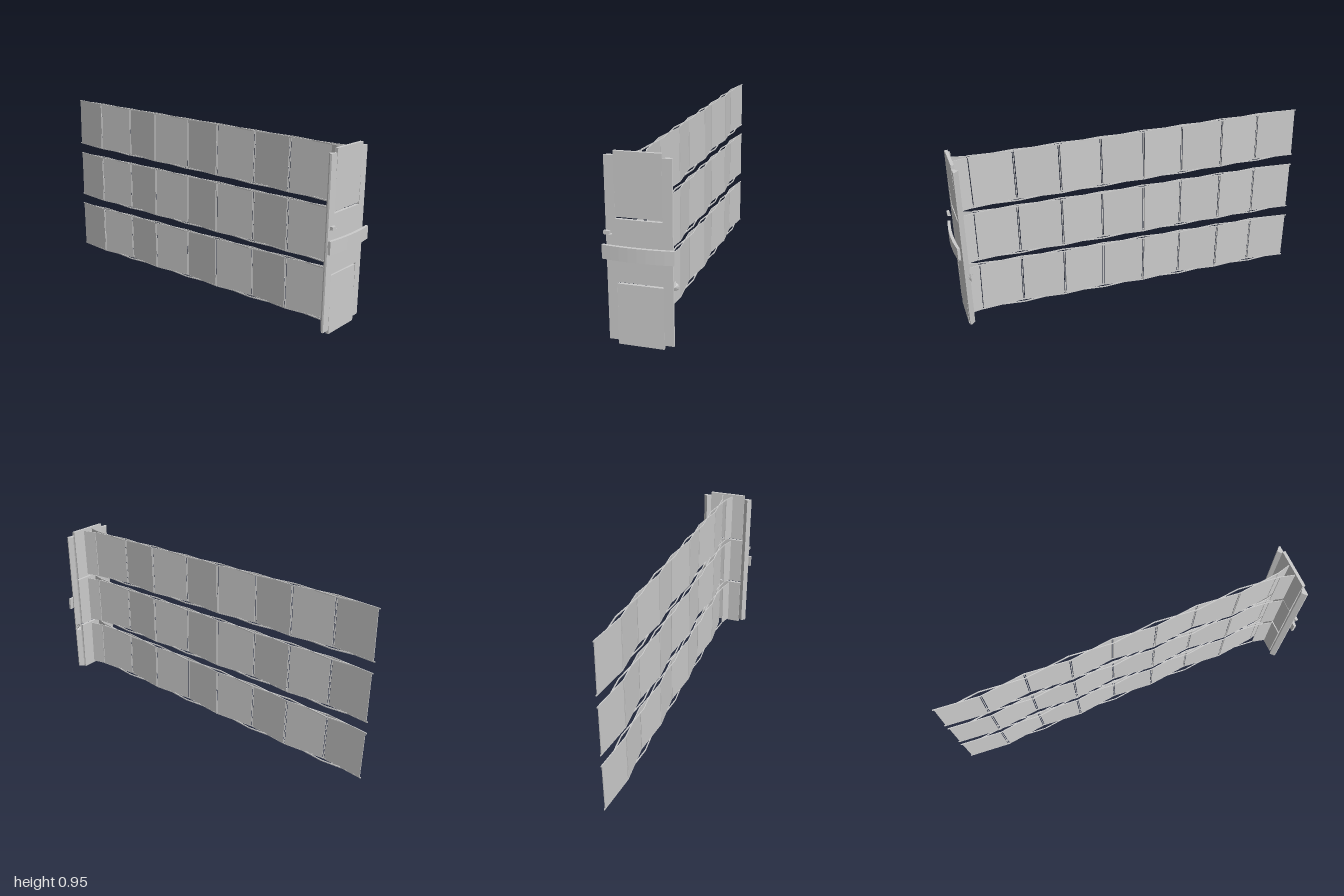
import * as THREE from 'three';

const mat = new THREE.MeshStandardMaterial({ color: 0xcccccc, flatShading: true, side: THREE.DoubleSide });

function add(parent, name, geo, x = 0, y = 0, z = 0) {
  const m = new THREE.Mesh(geo, mat);
  m.name = name;
  m.position.set(x, y, z);
  parent.add(m);
  return m;
}

// Box laid between two points of the x-z plane, trimmed by a margin at each end
function slab(parent, name, x0, z0, x1, z1, y, height, thick, trim) {
  const dx = x1 - x0, dz = z1 - z0, len = Math.hypot(dx, dz) - 2 * trim;
  const m = add(parent, name, new THREE.BoxGeometry(thick, height, len), (x0 + x1) / 2, y, (z0 + z1) / 2);
  m.rotation.y = Math.atan2(dx, dz);
  return m;
}

const CELL = 0.2345, CELLS = 8, SWING = 0.012, FRONT = 0.955, FIRST = 0.872;

// One folding wing: zigzag panels, crossing edge bars and its own base plate
function foldingWing(y, tilt) {
  const g = new THREE.Group();
  g.name = 'foldingWing';
  g.position.set(0, y, FRONT);
  g.rotation.x = tilt;
  for (let i = 0; i < CELLS; i++) {
    const side = i % 2 ? -SWING : SWING;
    const z0 = FIRST - FRONT - i * CELL, z1 = z0 - CELL;
    slab(g, 'panel', side, z0, -side, z1, 0, 0.268, 0.004, 0.006);
    const last = i === CELLS - 1;
    for (const s of [-1, 1]) {
      slab(g, 'panelEdge', side, z0, -side, z1, s * 0.136, 0.006, 0.005, -0.002);
      // the final crossing bar stops at the middle of the panel
      slab(g, 'crossBar', -side, z0, last ? 0 : side, last ? (z0 + z1) / 2 : z1, s * 0.137, 0.006, 0.005, 0);
    }
    add(g, 'hingePost', new THREE.BoxGeometry(0.004, 0.27, 0.004), side, 0, z0);
  }
  // short panels that spread to the base plate
  for (const s of [-1, 1])
    slab(g, 'rootPanel', s * SWING, FIRST - FRONT, s * 0.032, -0.007, 0, 0.276, 0.004, 0);
  add(g, 'basePlate', new THREE.BoxGeometry(0.218, 0.296, 0.016));
  return g;
}

// Upright side rail with a ridge along its back
function sideRail(s) {
  const shape = new THREE.Shape([
    [0.108, 0.963], [0.154, 0.963], [0.156, 0.955], [0.133, 0.935], [0.108, 0.955],
  ].map(([x, z]) => new THREE.Vector2(s * x, z)));
  const geo = new THREE.ExtrudeGeometry(shape, { depth: 0.865, bevelEnabled: false });
  geo.rotateX(Math.PI / 2);
  return geo;
}

export function createModel() {
  const model = new THREE.Group();
  model.name = 'foldingArray';
  const body = new THREE.Group();
  body.name = 'body';
  body.position.x = -0.004;
  model.add(body);

  for (const [y, tilt] of [[0.788, 0.016], [0.483, 0], [0.178, -0.016]])
    body.add(foldingWing(y, tilt));

  for (const s of [-1, 1]) add(body, 'sideRail', sideRail(s), 0, 0.915, 0);

  // bowed band across the front
  const bow = new THREE.Shape();
  bow.moveTo(-0.167, 0.973);
  bow.lineTo(-0.167, 0.987);
  bow.quadraticCurveTo(0, 1.013, 0.167, 0.987);
  bow.lineTo(0.167, 0.973);
  bow.quadraticCurveTo(0, 0.995, -0.167, 0.973);
  const bowGeo = new THREE.ExtrudeGeometry(bow, { depth: 0.066, bevelEnabled: false, curveSegments: 8 });
  bowGeo.rotateX(Math.PI / 2);
  add(body, 'frontBand', bowGeo, 0, 0.515, 0);

  // small sensor on its shelf
  add(body, 'sensor', new THREE.BoxGeometry(0.028, 0.015, 0.014), -0.142, 0.574, 0.981);
  add(body, 'sensorShelf', new THREE.BoxGeometry(0.037, 0.002, 0.016), -0.137, 0.565, 0.979);

  // dish behind the side rail, with thin crossed feed rods
  const dish = add(body, 'dish', new THREE.CylinderGeometry(0.021, 0.004, 0.01, 12, 1, true), 0.152, 0.331, 0.94);
  dish.rotation.x = -Math.PI / 2;
  for (const s of [-1, 1]) {
    const rod = add(body, 'dishRod', new THREE.BoxGeometry(0.003, 0.045, 0.003), 0.152, 0.333, 0.935);
    rod.rotation.x = s * 0.7;
  }
  add(body, 'dishMast', new THREE.CylinderGeometry(0.002, 0.002, 0.046, 6), 0.158, 0.331, 0.94);
  return model;
}
